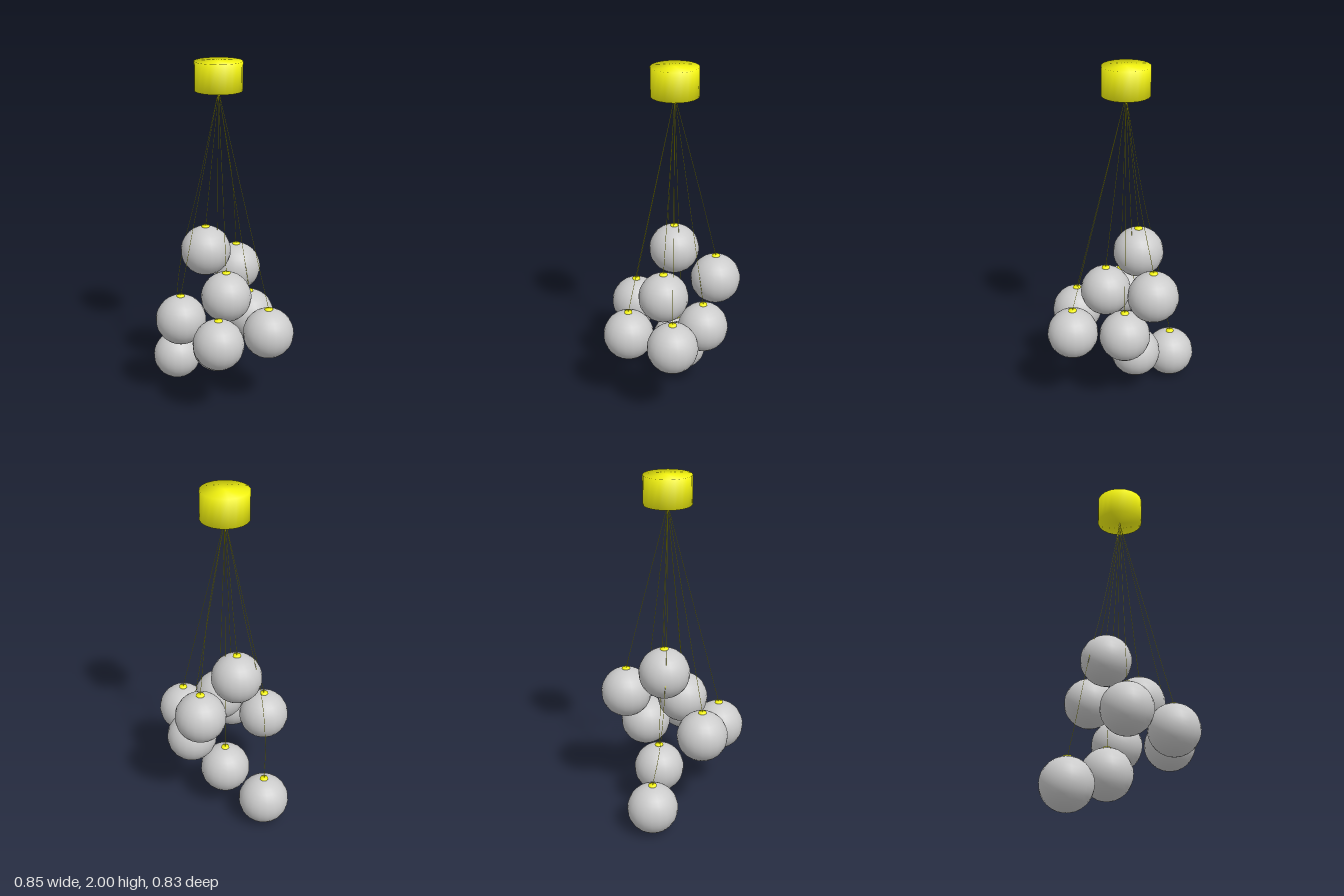
import * as THREE from 'three';
import { mergeVertices } from 'three/addons/utils/BufferGeometryUtils.js';

const R = 0.146; // globe radius
const HUB = [-0.013, 1.84, -0.047]; // where the cords meet

// Globe centres, with optional in-between points for cords that bend
const GLOBES = [
  { at: [-0.28, 0.147, -0.223], bend: [[-0.138, 1.25, -0.09], [-0.24, 0.82, -0.137], [-0.277, 0.5, -0.18]] },
  { at: [0.083, 0.727, -0.272], bend: [[0.061, 1.3, -0.166]] },
  { at: [0.167, 0.48, -0.135] },
  { at: [-0.09, 0.896, -0.093] },
  { at: [-0.225, 0.535, 0.09] },
  { at: [0.035, 0.667, 0.055] },
  { at: [0.28, 0.483, 0.142] },
  { at: [0, 0.467, 0.27] },
  { at: [-0.028, 0.257, -0.11] },
];

// Cylinder with softly shaded rims
function softCylinder(radius, height, sides) {
  const g = new THREE.CylinderGeometry(radius, radius, height, sides);
  g.deleteAttribute('uv');
  g.deleteAttribute('normal');
  const merged = mergeVertices(g, 1e-5);
  merged.computeVertexNormals();
  return merged;
}

export function createModel() {
  const model = new THREE.Group();
  model.name = 'pendantCluster';
  const grey = new THREE.MeshStandardMaterial({ color: 0xcccccc });
  const yellow = new THREE.MeshStandardMaterial({ color: 0xf8f810 });

  const add = (name, geometry, material, parent, x = 0, y = 0, z = 0) => {
    const mesh = new THREE.Mesh(geometry, material);
    mesh.name = name;
    mesh.position.set(x, y, z);
    parent.add(mesh);
  };

  // Ceiling canopy
  add('canopy', softCylinder(0.133, 0.16, 20), yellow, model, HUB[0], 1.92, HUB[2]);

  // Each pendant: globe, small cap and thin cord
  const globe = new THREE.SphereGeometry(R, 20, 16);
  const cap = softCylinder(0.023, 0.014, 16);
  for (const { at: [x, y, z], bend = [] } of GLOBES) {
    const pendant = new THREE.Group();
    pendant.name = 'pendant';
    model.add(pendant);
    add('globe', globe, grey, pendant, x, y, z);
    add('cap', cap, yellow, pendant, x, y + R - 0.002, z);
    const path = [HUB, ...bend, [x, y + R, z]].map((p) => new THREE.Vector3(...p));
    const curve = new THREE.CatmullRomCurve3(path);
    add('cord', new THREE.TubeGeometry(curve, bend.length ? 24 : 1, 0.0012, 6), yellow, pendant);
  }
  return model;
}
